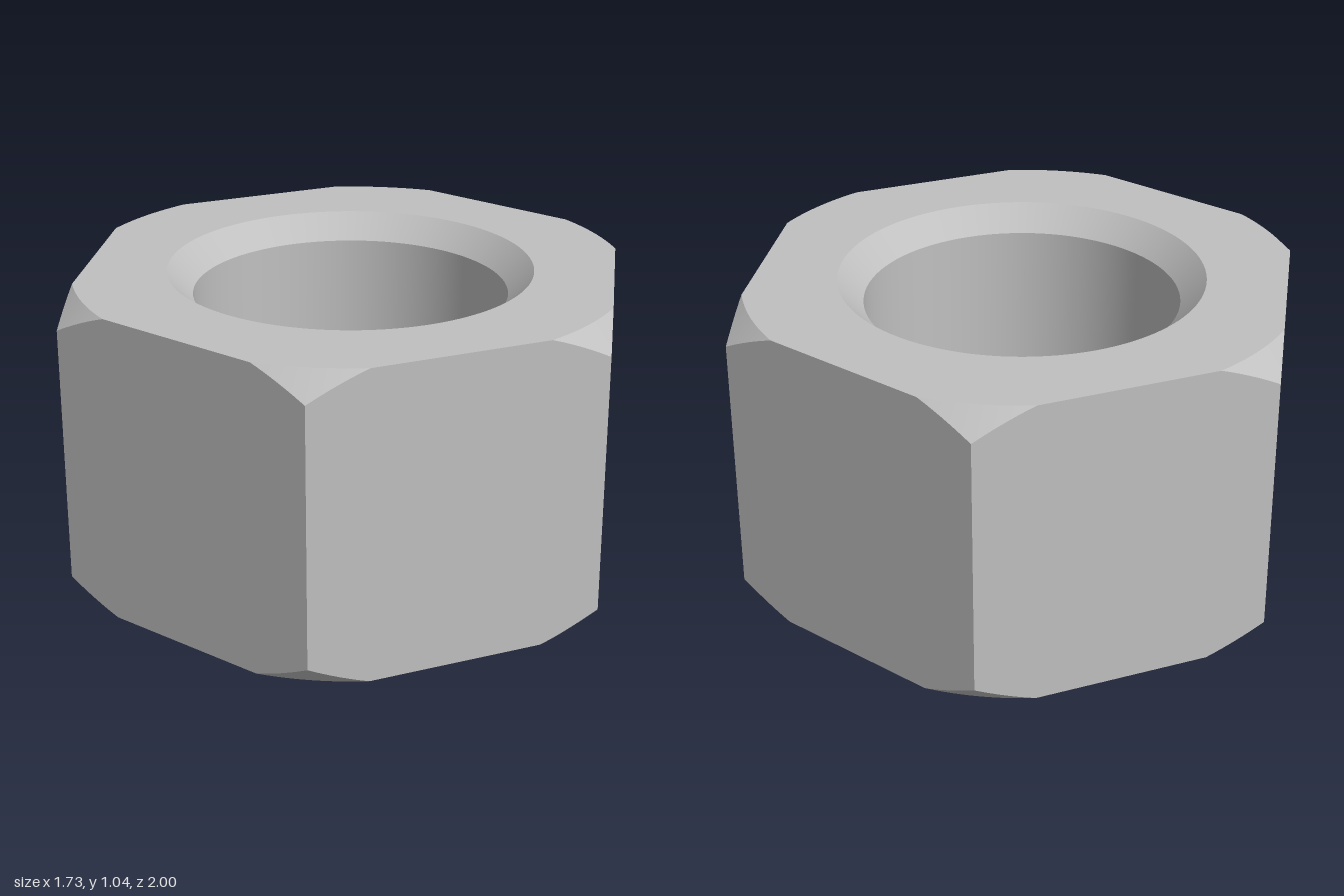
import * as THREE from 'three';
import { toCreasedNormals } from 'three/addons/utils/BufferGeometryUtils.js';

const HEIGHT = 1.04;
const APOTHEM = Math.sqrt(3) / 2; // centre to flat, with corners at radius 1
const FACE_R = 0.915;             // circle where the corner chamfer meets the end faces
const BORE_R = 0.522;
const MOUTH_R = 0.605;            // bore countersink at the end faces
const SINK = MOUTH_R - BORE_R;    // 45 degree countersink

const steel = new THREE.MeshStandardMaterial({ color: 0xc0c0c0 });
steel.name = 'steel grey';

// Samples around the hexagon: angle and outline radius, with breaks where chamfer meets flat
function outlineSamples() {
  const reach = Math.acos(APOTHEM / FACE_R);
  const corner = Math.PI / 6;
  const offsets = [];
  for (let i = 0; i < 6; i++) offsets.push(-corner + (corner - reach) * i / 6);
  for (let i = 0; i < 10; i++) offsets.push(-reach + 2 * reach * i / 10);
  for (let i = 0; i < 6; i++) offsets.push(reach + (corner - reach) * i / 6);
  const samples = [];
  for (let side = 0; side < 6; side++) {
    for (const o of offsets) samples.push({ angle: corner + side * Math.PI / 3 + o, r: APOTHEM / Math.cos(o) });
  }
  return samples;
}

// Closed band of surface between two rings
function band(name, lower, upper) {
  const positions = [];
  const n = lower.length;
  const addTriangle = (a, b, c) => {
    if (new THREE.Triangle(a, b, c).getArea() < 1e-8) return;
    for (const p of [a, b, c]) positions.push(p.x, p.y, p.z);
  };
  for (let i = 0; i < n; i++) {
    const j = (i + 1) % n;
    addTriangle(lower[i], lower[j], upper[j]);
    addTriangle(lower[i], upper[j], upper[i]);
  }
  const geometry = new THREE.BufferGeometry();
  geometry.setAttribute('position', new THREE.Float32BufferAttribute(positions, 3));
  const mesh = new THREE.Mesh(toCreasedNormals(geometry, Math.PI / 7), steel);
  mesh.name = name;
  return mesh;
}

export function createModel() {
  const group = new THREE.Group();
  group.name = 'hexNut';
  const samples = outlineSamples();
  const ring = (radius, height) => samples.map(({ angle, r }) => {
    const d = radius(r);
    return new THREE.Vector3(d * Math.sin(angle), height(r), d * Math.cos(angle));
  });
  const circle = (radius, y) => ring(() => radius, () => y);
  const faceRadius = (r) => Math.min(r, FACE_R);
  const drop = (r) => Math.max(0, r - FACE_R); // 45 degree corner chamfer

  // Cross-section loop: up the outside, across the top, down the bore, across the bottom
  const rings = [
    ring(faceRadius, () => 0),
    ring((r) => r, drop),
    ring((r) => r, (r) => HEIGHT - drop(r)),
    ring(faceRadius, () => HEIGHT),
    circle(MOUTH_R, HEIGHT),
    circle(BORE_R, HEIGHT - SINK),
    circle(BORE_R, SINK),
    circle(MOUTH_R, 0),
  ];
  const names = ['bottomCornerChamfers', 'hexSides', 'topCornerChamfers', 'topFace',
    'topCountersink', 'bore', 'bottomCountersink', 'bottomFace'];
  names.forEach((name, i) => group.add(band(name, rings[i], rings[(i + 1) % rings.length])));
  return group;
}
